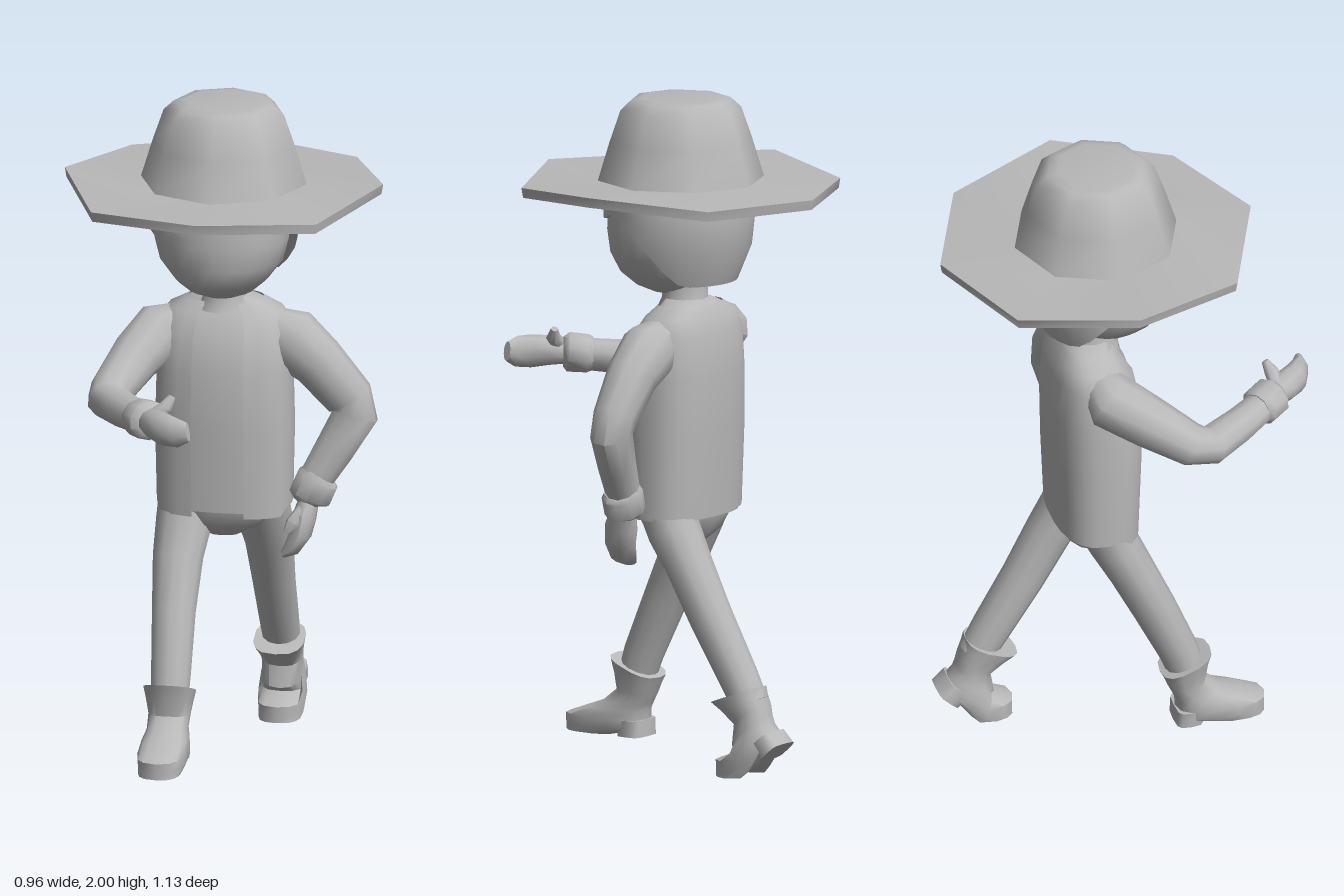
import * as THREE from 'three';
import { toCreasedNormals } from 'three/addons/utils/BufferGeometryUtils.js';

const V = (x, y, z) => new THREE.Vector3(x, y, z);
const grey = new THREE.MeshStandardMaterial({ color: 0xb8b8b8, side: THREE.DoubleSide });
grey.name = 'plain grey';

// Skin over rows of points; closed rows wrap around and get fan caps at both ends.
function skin(name, rows, closed = true, crease = 0.9) {
  const n = rows[0].length, pos = [], idx = [];
  rows.flat().forEach(p => pos.push(p.x, p.y, p.z));
  for (let i = 0; i < rows.length - 1; i++) {
    for (let j = 0; j < (closed ? n : n - 1); j++) {
      const k = (j + 1) % n, a = i * n, b = a + n;
      idx.push(a + j, a + k, b + k, a + j, b + k, b + j);
    }
  }
  if (closed) {
    [0, rows.length - 1].forEach((r, end) => {
      const c = V(0, 0, 0);
      rows[r].forEach(p => c.addScaledVector(p, 1 / n));
      const ci = pos.length / 3;
      pos.push(c.x, c.y, c.z);
      for (let j = 0; j < n; j++) {
        const a = r * n + j, b = r * n + (j + 1) % n;
        idx.push(...(end ? [a, b, ci] : [b, a, ci]));
      }
    });
  }
  const g = new THREE.BufferGeometry();
  g.setAttribute('position', new THREE.Float32BufferAttribute(pos, 3));
  g.setIndex(idx);
  const mesh = new THREE.Mesh(toCreasedNormals(g, crease), grey);
  mesh.name = name;
  return mesh;
}

// Horizontal ring; power below 1 makes it boxier, tilt raises its front.
function ring(y, cz, rx, rz, n = 16, power = 1, tilt = 0, from = 0, to = Math.PI * 2) {
  const open = to - from < 6.28, out = [];
  const f = v => Math.sign(v) * Math.abs(v) ** power;
  for (let j = 0; j < n; j++) {
    const a = from + (to - from) * j / (open ? n - 1 : n);
    const z = f(Math.cos(a)) * rz;
    out.push(V(f(Math.sin(a)) * rx, y + z * tilt, cz + z));
  }
  return out;
}

// Tapered limb through [x, y, z, radius, radius along ref].
function limb(name, pts, ref, n = 10) {
  const p = pts.map(q => V(q[0], q[1], q[2]));
  const rows = p.map((c, i) => {
    const t = p[Math.min(i + 1, p.length - 1)].clone().sub(p[Math.max(i - 1, 0)]).normalize();
    const v = ref.clone().addScaledVector(t, -ref.dot(t)).normalize();
    const u = t.clone().cross(v);
    const [r1, r2 = r1] = pts[i].slice(3);
    return Array.from({ length: n }, (_, j) => {
      const a = j / n * Math.PI * 2;
      return c.clone().addScaledVector(u, Math.sin(a) * r1).addScaledVector(v, Math.cos(a) * r2);
    });
  });
  return skin(name, rows);
}

// Boot with its toe flat; bend lifts everything behind the ball of the foot.
function boot(name, x, y, z, bend) {
  const g = new THREE.Group();
  g.name = name;
  const hinge = 0.29, c = Math.cos(bend), s = Math.sin(bend);
  const place = rows => {
    rows.flat().forEach(p => {
      const dz = p.z - hinge, py = p.y;
      if (dz < 0) {
        p.z = hinge + dz * c + py * s;
        p.y = py * c - dz * s;
      }
      p.add(V(x, y, z));
    });
    return rows;
  };
  const upper = [
    [0, 0.31, 0.064, 0.088, 0], [0.02, 0.265, 0.07, 0.135, 0], [0.05, 0.262, 0.072, 0.138, 0],
    [0.078, 0.225, 0.068, 0.1, 0], [0.1, 0.19, 0.06, 0.075, 0], [0.135, 0.157, 0.062, 0.056, 0.1],
    [0.18, 0.155, 0.07, 0.066, 0.3], [0.212, 0.155, 0.077, 0.077, 0.4]
  ].map(([h, cz, rx, rz, t]) => ring(h, cz, rx, rz, 14, 0.75, t));
  g.add(skin('bootUpper', place(upper)));
  const heel = [[0, 0.16, 0.06, 0.042], [0.05, 0.165, 0.062, 0.044]]
    .map(([h, cz, rx, rz]) => ring(h, cz, rx, rz, 12, 0.5));
  g.add(skin('bootHeel', place(heel)));
  return g;
}

export function createModel() {
  const model = new THREE.Group();
  model.name = 'walkingFigure';
  const X = V(1, 0, 0), Y = V(0, 1, 0), Z = V(0, 0, 1);

  // Wide octagonal hat with slightly raised sides and front
  const lift = [0.02, 0, 0.028, 0, 0, 0, 0.028, 0];
  model.add(skin('hat', [
    [0.2, 1.725, 0], [0.475, 1.71, 1], [0.48, 1.74, 1], [0.25, 1.755, 0],
    [0.215, 1.87, 0], [0.182, 1.965, 0], [0.15, 1.995, 0], [0.12, 2, 0]
  ].map(([r, y, k]) => {
    const row = ring(y, -0.085, r, r, 8);
    row.forEach((p, j) => { p.y += lift[j] * k; });
    return row;
  }), true, 1.1));

  // Head and neck
  model.add(skin('head', [
    [1.415, -0.06, 0.06, 0.07], [1.435, -0.045, 0.1, 0.105], [1.47, -0.045, 0.14, 0.15],
    [1.53, -0.045, 0.185, 0.172], [1.6, -0.045, 0.203, 0.177], [1.67, -0.05, 0.205, 0.18], [1.75, -0.06, 0.2, 0.18]
  ].map(r => ring(...r, 20))));
  model.add(skin('neck', [[1.36, 0.085], [1.4, 0.068], [1.46, 0.068]].map(([y, r]) => ring(y, -0.1, r, r, 12))));

  // Hair shell: fringe in front, falling to the nape behind
  const hairBottom = a => {
    const back = Math.abs(a > Math.PI ? a - 2 * Math.PI : a);
    if (back < 1.2) return 1.65 + 0.014 * Math.sin(a * 6 + 0.8);
    return 1.645 - 0.19 * THREE.MathUtils.smoothstep(back, 1.2, 2.3);
  };
  const hairRows = [[0, 0.88], [0, 1], [0.35, 1], [0.7, 1], [1, 0.97]].map(([t, s]) => {
    const n = 32;
    return Array.from({ length: n }, (_, j) => {
      const a = j / n * Math.PI * 2, low = hairBottom(a), y = low + (1.75 - low) * t;
      const r = s * 0.226 * (1 - 0.22 * Math.max(0, (1.62 - y) / 0.16) ** 1.6);
      return V(Math.sin(a) * r, y, -0.08 + Math.cos(a) * r);
    });
  });
  model.add(skin('hair', hairRows));

  // Shirt body and the open vest over it
  const body = [
    [0.75, -0.1, 0.195, 0.118], [1.0, -0.1, 0.2, 0.128], [1.18, -0.102, 0.195, 0.13],
    [1.3, -0.11, 0.19, 0.112], [1.355, -0.12, 0.165, 0.085], [1.385, -0.12, 0.105, 0.065], [1.4, -0.11, 0.07, 0.055]
  ];
  model.add(skin('shirt', body.map(r => ring(...r, 20, 0.78))));
  const vest = body.slice(0, 6).map(([y, cz, rx, rz], i) =>
    ring(y, cz, rx + 0.008, rz + 0.008, 24, 0.78, 0, 0.3, Math.PI * 2 - 0.3));
  vest[0].forEach((p, j) => { p.y += (j < 4 || j > 19 ? -0.015 : 0.01); });
  model.add(skin('vest', vest, false));

  // Hips and legs
  model.add(skin('hips', [[0.66, 0.05, 0.05], [0.7, 0.13, 0.09], [0.76, 0.18, 0.11], [0.85, 0.185, 0.115]]
    .map(([y, rx, rz]) => ring(y, -0.1, rx, rz, 14, 0.85))));
  model.add(limb('rightLeg', [
    [-0.12, 0.19, 0.165, 0.056], [-0.12, 0.28, 0.135, 0.06], [-0.125, 0.45, 0.06, 0.066],
    [-0.125, 0.6, -0.01, 0.076, 0.07], [-0.115, 0.7, -0.06, 0.085, 0.075], [-0.11, 0.8, -0.1, 0.085]
  ], Z, 12));
  model.add(limb('leftLeg', [
    [0.115, 0.22, -0.42, 0.055], [0.115, 0.3, -0.375, 0.06], [0.115, 0.47, -0.275, 0.066],
    [0.115, 0.62, -0.195, 0.075, 0.07], [0.11, 0.71, -0.14, 0.085, 0.078], [0.105, 0.8, -0.1, 0.085]
  ], Z, 12));
  model.add(boot('rightBoot', -0.12, 0.03, 0, 0));
  model.add(boot('leftBoot', 0.115, 0, -0.71, 0.74));

  // Left arm, bent and hanging beside the hip
  model.add(limb('leftArm', [
    [0.12, 1.305, -0.11, 0.06], [0.2, 1.265, -0.11, 0.095, 0.085], [0.28, 1.2, -0.105, 0.082, 0.075],
    [0.375, 1.09, -0.11, 0.074, 0.062], [0.392, 1.04, -0.11, 0.07, 0.06],
    [0.335, 0.94, -0.09, 0.062, 0.055], [0.27, 0.83, -0.07, 0.052, 0.05]
  ], Z));
  model.add(limb('leftCuff', [
    [0.295, 0.86, -0.075, 0.052], [0.285, 0.845, -0.073, 0.066, 0.06],
    [0.262, 0.79, -0.068, 0.066, 0.06], [0.258, 0.775, -0.067, 0.045]
  ], Z));
  model.add(limb('leftHand', [
    [0.262, 0.79, -0.065, 0.03, 0.04], [0.25, 0.735, -0.045, 0.036, 0.055],
    [0.24, 0.685, -0.035, 0.034, 0.052], [0.215, 0.64, -0.03, 0.026, 0.045], [0.19, 0.62, -0.03, 0.012, 0.028]
  ], Z));
  model.add(limb('leftThumb', [
    [0.25, 0.765, -0.03, 0.02], [0.222, 0.725, 0, 0.022], [0.205, 0.695, 0.005, 0.012]
  ], Z, 7));

  // Right arm, swung forward with the hand across the chest
  model.add(limb('rightArm', [
    [-0.12, 1.305, -0.11, 0.06], [-0.19, 1.275, -0.09, 0.088], [-0.25, 1.22, 0.01, 0.078],
    [-0.3, 1.15, 0.125, 0.066, 0.064], [-0.3, 1.137, 0.185, 0.064, 0.056],
    [-0.23, 1.14, 0.29, 0.056, 0.052], [-0.155, 1.15, 0.395, 0.048]
  ], Y));
  model.add(limb('rightCuff', [
    [-0.18, 1.15, 0.36, 0.05], [-0.17, 1.15, 0.374, 0.064, 0.058],
    [-0.135, 1.155, 0.42, 0.064, 0.06], [-0.126, 1.155, 0.432, 0.045]
  ], Y));
  model.add(limb('rightHand', [
    [-0.14, 1.155, 0.42, 0.034, 0.036], [-0.105, 1.16, 0.465, 0.046, 0.045],
    [-0.07, 1.158, 0.51, 0.04, 0.05], [-0.03, 1.16, 0.536, 0.028, 0.046], [0.005, 1.165, 0.543, 0.014, 0.03]
  ], Y));
  model.add(limb('rightThumb', [
    [-0.115, 1.18, 0.44, 0.022], [-0.08, 1.205, 0.435, 0.022], [-0.065, 1.235, 0.42, 0.011]
  ], X, 7));
  return model;
}
